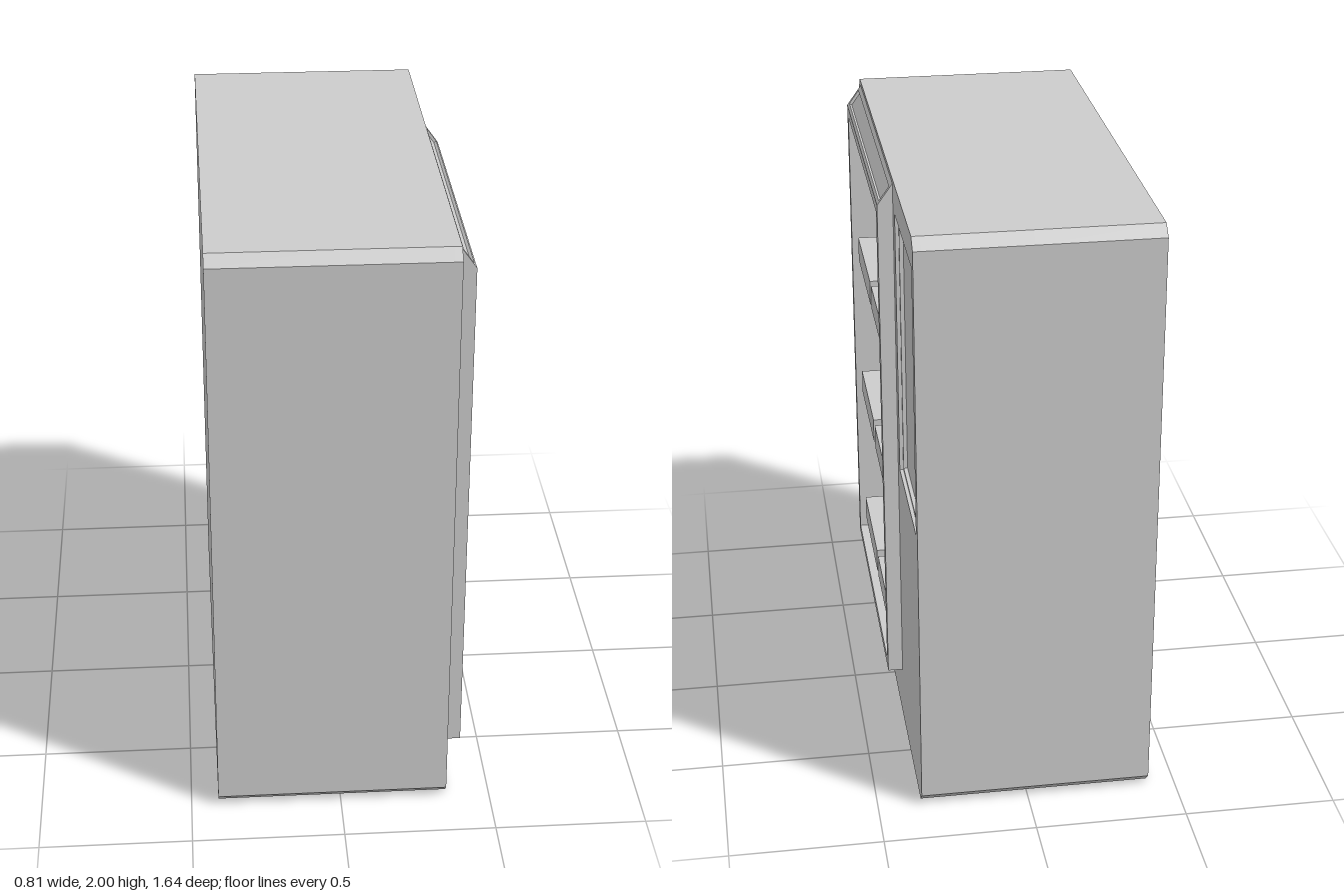
import * as THREE from 'three';

const grey = new THREE.MeshStandardMaterial({ color: 0xcccccc });
grey.name = 'light grey';

// Rectangle as a closed outline in (-z, y), given z and y ranges
const rect = (z0, z1, y0, y1) => [[-z1, y0], [-z0, y0], [-z0, y1], [-z1, y1]];
const toPoints = (list) => list.map(([a, b]) => new THREE.Vector2(a, b));

function add(parent, name, geometry) {
  const mesh = new THREE.Mesh(geometry, grey);
  mesh.name = name;
  parent.add(mesh);
  return mesh;
}

// Slab across the cabinet from x0 to x1, outline and holes in (-z, y)
function slabX(outline, holes, x0, x1) {
  const shape = new THREE.Shape(toPoints(outline));
  shape.holes = holes.map((h) => new THREE.Path(toPoints(h)));
  const g = new THREE.ExtrudeGeometry(shape, { depth: x1 - x0, bevelEnabled: false });
  return g.rotateY(Math.PI / 2).translate(x0, 0, 0);
}

// Prism along z from an (x, y) profile
function prismZ(profile, z0, z1) {
  const shape = new THREE.Shape(toPoints(profile));
  return new THREE.ExtrudeGeometry(shape, { depth: z1 - z0, bevelEnabled: false }).translate(0, 0, z0);
}

export function createModel() {
  const model = new THREE.Group();
  model.name = 'displayCabinet';

  // Cabinet body with chamfered long edges, an open bay and a shallow panel recess
  const c = 0.035, w = 0.82, h = 2;
  const outline = [[-w + c, 0], [w - c, 0], [w, c], [w, h - c], [w - c, h], [-w + c, h], [-w, h - c], [-w, c]];
  const bay = rect(-0.245, 0.725, 0.22, 1.88);
  const panel = rect(-0.78, -0.33, 1.0, 1.9);
  const body = new THREE.Group();
  body.name = 'cabinetBody';
  model.add(body);
  add(body, 'cabinetRear', slabX(outline, [], -0.41, -0.01));
  add(body, 'cabinetBay', slabX(outline, [bay], -0.01, 0.33));
  add(body, 'cabinetFace', slabX(outline, [bay, panel], 0.33, 0.355));

  // Thin rim inside the panel recess
  add(model, 'panelRim', slabX(panel, [rect(-0.772, -0.338, 1.008, 1.892)], 0.33, 0.343));

  // Raised frame around the bay
  add(model, 'bayFrame', slabX(rect(-0.283, 0.757, 0.19, 1.915), [bay], 0.355, 0.405));

  // Sloping header on the frame, with a long slot
  const wedge = [[0.355, 1.915], [0.405, 1.915], [0.355, 1.985]];
  const slotted = [[0.355, 1.915], [0.405, 1.915], [0.398, 1.925], [0.39, 1.919],
    [0.357, 1.965], [0.365, 1.971], [0.355, 1.985]];
  const header = new THREE.Group();
  header.name = 'frameHeader';
  model.add(header);
  add(header, 'headerSlot', prismZ(slotted, -0.267, 0.741));
  add(header, 'headerEndRear', prismZ(wedge, -0.283, -0.267));
  add(header, 'headerEndFront', prismZ(wedge, 0.741, 0.757));

  // Three rows of paired shelves, flared where they meet the back wall
  const shelfProfile = [[-0.01, 0], [0.03, 0.042], [0.385, 0.042], [0.385, 0.128], [0.03, 0.128], [-0.01, 0.17]];
  for (const y of [0.235, 0.77, 1.305]) {
    for (const [z0, z1] of [[0.265, 0.687], [-0.205, 0.22]]) {
      add(model, 'shelf', prismZ(shelfProfile, z0, z1)).position.y = y;
    }
  }
  return model;
}
